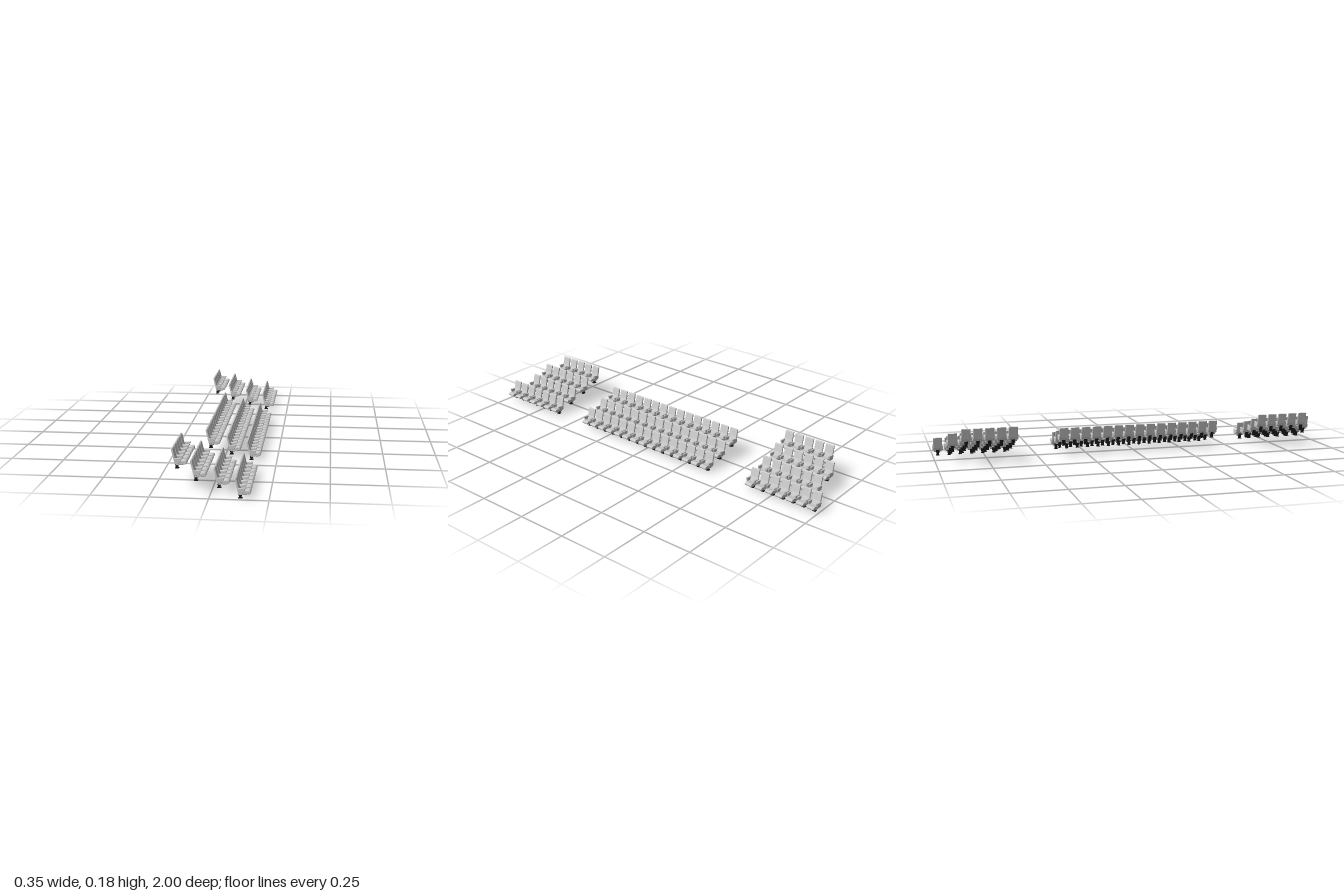
import * as THREE from 'three';

const seatMat = new THREE.MeshStandardMaterial({ color: 0xcccccc });
const legMat = new THREE.MeshStandardMaterial({ color: 0x1a1a1a });
const U = 1 / 560; // profile unit

// Side profile (x forward, y up) extruded across z, centred, with softened edges
function slab(points, width, bevel, smooth = false) {
  const pts = points.map(([x, y]) => new THREE.Vector2(x * U, y * U));
  const shape = smooth
    ? new THREE.Shape(new THREE.CatmullRomCurve3(pts.map(p => new THREE.Vector3(p.x, p.y, 0)), true).getPoints(24).slice(0, 24).map(p => new THREE.Vector2(p.x, p.y)))
    : new THREE.Shape(pts);
  const geo = new THREE.ExtrudeGeometry(shape, {
    depth: width - 2 * bevel, bevelEnabled: bevel > 0, bevelSize: bevel, bevelOffset: -bevel,
    bevelThickness: bevel, bevelSegments: 2, curveSegments: 6,
  });
  return geo.translate(0, 0, -(width - 2 * bevel) / 2);
}

// Backrest, slightly narrower towards the top
const backGeo = slab([[-12.5, 50.5], [-11, 51.5], [-8.5, 51], [-7.5, 49.5], [-3, 30], [3, 16], [-4, 15], [-6, 22]], 0.044, 0.0015);
// Cushion with a rounded front lip, tilted up to the front
const cushionGeo = slab([[-2, 18], [8, 19.5], [20, 21.5], [24, 20], [25.5, 17], [24, 13.8], [20, 12], [8, 10.5], [-1, 10], [-3, 14]], 0.037, 0.002, true);
// Side arm
const armGeo = slab([[-5, 27.5], [4, 28], [14, 29.5], [14, 27.5], [10.5, 18.5], [8, 16.5], [2, 14.8], [-3, 15], [-5, 18]], 0.0085, 0.0015);

// Rounded pan under the seat
const panGeo = new THREE.SphereGeometry(1, 14, 6, 0, Math.PI * 2, Math.PI / 2, Math.PI / 2);
panGeo.scale(8 * U, 6.5 * U, 0.0235).translate(3 * U, 18.5 * U, 0);

// Pedestal: wide at the top, narrower at the floor
const legGeo = slab([[-4.5, 16], [4.5, 14], [3, 0.5], [-2, 0.5]], 0.018, 0);
const legPos = legGeo.attributes.position;
for (let i = 0; i < legPos.count; i++) {
  legPos.setZ(i, legPos.getZ(i) * (0.6 + 0.4 * legPos.getY(i) / (16 * U)));
}
legGeo.computeVertexNormals();
const footGeo = new THREE.BoxGeometry(10 * U, 1 * U, 0.016).translate(0.5 * U, 0.5 * U, 0);

function part(name, geo, mat, z = 0) {
  const m = new THREE.Mesh(geo, mat);
  m.name = name;
  m.position.z = z;
  return m;
}

function createSeat() {
  const seat = new THREE.Group();
  seat.name = 'seat';
  seat.add(
    part('backrest', backGeo, seatMat),
    part('cushion', cushionGeo, seatMat),
    part('seatPan', panGeo, seatMat),
    part('leftArm', armGeo, seatMat, 0.0215),
    part('rightArm', armGeo, seatMat, -0.0215),
    part('leg', legGeo, legMat),
    part('footPlate', footGeo, legMat),
  );
  return seat;
}

export function createModel() {
  const model = new THREE.Group();
  model.name = 'tieredSeating';
  const pitch = 0.0557;
  // Each tier: foot position, seats per side block, seats in the centre block
  const tiers = [
    { x: 0.129, y: 0, side: 7, centre: 15 },
    { x: 0.035, y: 0.024, side: 6, centre: 15 },
    { x: -0.063, y: 0.053, side: 6, centre: 15 },
    { x: -0.152, y: 0.087, side: 5, centre: 0 },
  ];
  const seat = createSeat();
  const addRow = (name, tier, count, z0, step) => {
    const row = new THREE.Group();
    row.name = name;
    for (let i = 0; i < count; i++) {
      const s = seat.clone();
      s.position.set(tier.x, tier.y, z0 + i * step);
      row.add(s);
    }
    model.add(row);
  };
  for (const t of tiers) {
    addRow('leftBlockRow', t, t.side, 0.64, pitch);
    addRow('rightBlockRow', t, t.side, -0.64, -pitch);
    if (t.centre) addRow('centreBlockRow', t, t.centre, -0.375, pitch);
  }
  return model;
}
